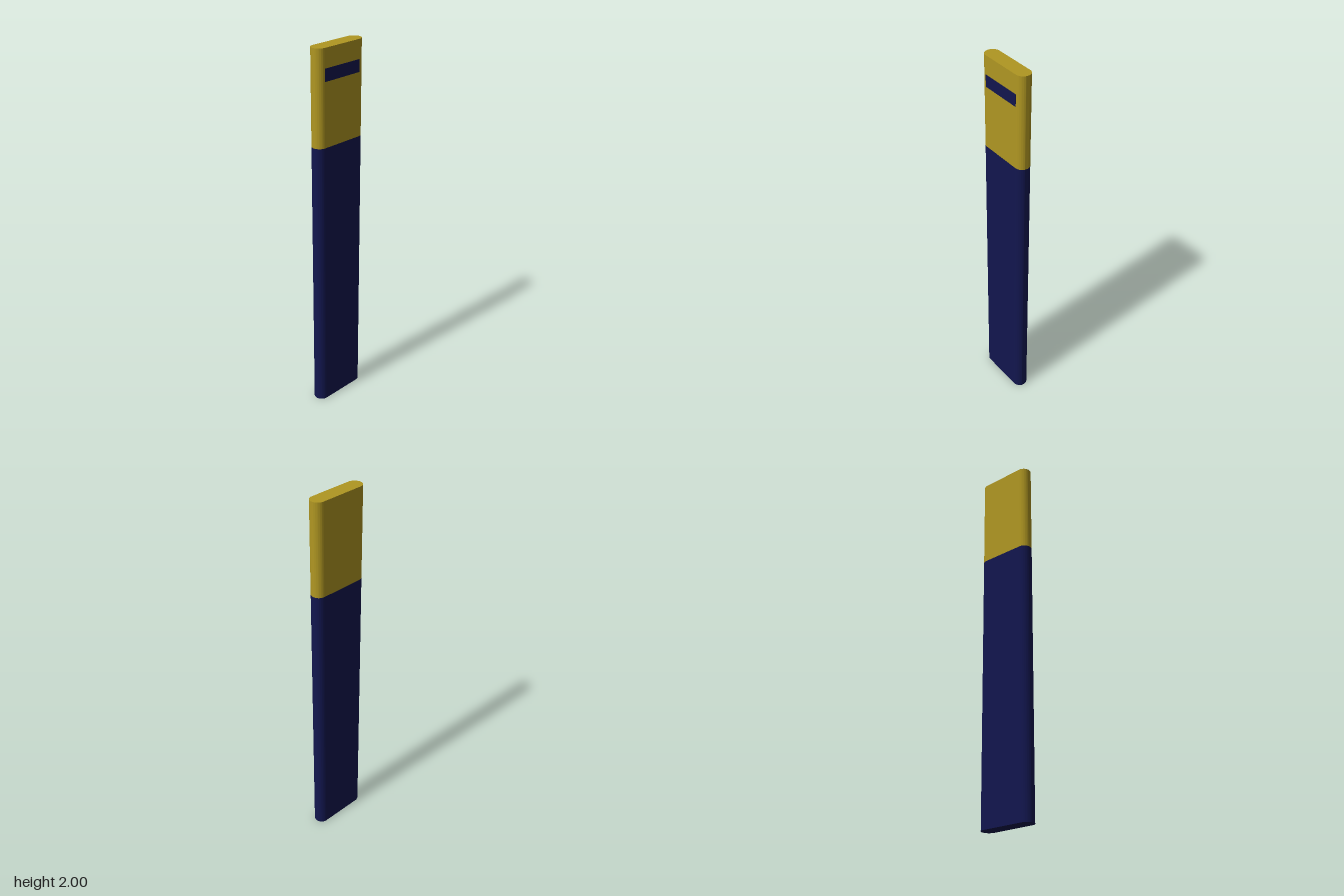
import * as THREE from 'three';
import { toCreasedNormals } from 'three/addons/utils/BufferGeometryUtils.js';

const RADIUS = 0.04; // half thickness, also the rounded edge radius
const STRAIGHT = 0.12; // half length of the flat sides

const yellow = new THREE.MeshStandardMaterial({ color: 0xb09722 });
const navy = new THREE.MeshStandardMaterial({ color: 0x12164e });

// Flat post section with half-round edges, standing between two heights
function postSection(name, bottom, top, material) {
  const outline = new THREE.Shape();
  outline.absarc(0, STRAIGHT, RADIUS, 0, Math.PI);
  outline.absarc(0, -STRAIGHT, RADIUS, Math.PI, Math.PI * 2);
  outline.closePath();
  const extruded = new THREE.ExtrudeGeometry(outline, {
    depth: top - bottom, bevelEnabled: false, curveSegments: 20,
  });
  extruded.rotateX(-Math.PI / 2);
  const mesh = new THREE.Mesh(toCreasedNormals(extruded, 0.6), material);
  mesh.name = name;
  mesh.position.y = bottom;
  return mesh;
}

export function createModel() {
  const model = new THREE.Group();
  model.name = 'markerPost';

  model.add(postSection('lowerPost', 0, 1.5, navy));
  model.add(postSection('upperPost', 1.5, 2, yellow));

  // Thin marking strip on the left (+x) face only
  const strip = new THREE.Mesh(new THREE.BoxGeometry(0.004, 0.065, 0.24), navy);
  strip.name = 'markingStrip';
  strip.position.set(RADIUS - 0.001, 1.868, 0);
  model.add(strip);

  return model;
}
